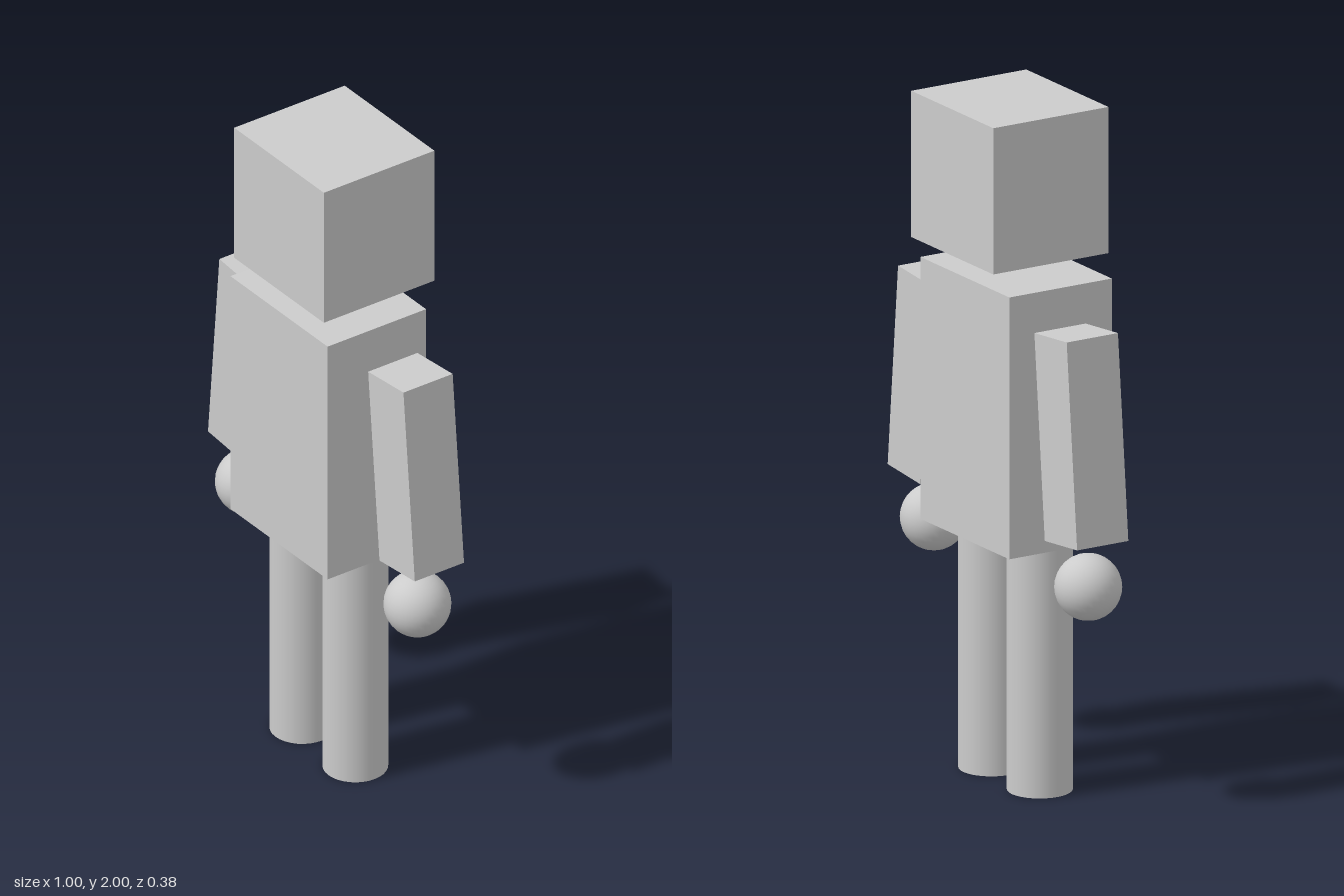
import * as THREE from 'three';

export function createModel() {
  const group = new THREE.Group();
  const material = new THREE.MeshStandardMaterial({ color: 0xcccccc });

  const add = (name, geometry, x, y, z) => {
    const mesh = new THREE.Mesh(geometry, material);
    mesh.name = name;
    mesh.position.set(x, y, z);
    group.add(mesh);
    return mesh;
  };

  // Floating head above the torso
  add('head', new THREE.BoxGeometry(0.43, 0.43, 0.384), 0, 1.785, -0.002);
  add('torso', new THREE.BoxGeometry(0.466, 0.77, 0.342), 0, 1.115, 0.019);

  // Paired limbs: the model's left is +x
  const armGeometry = new THREE.BoxGeometry(0.17, 0.6, 0.171);
  const handGeometry = new THREE.SphereGeometry(0.096, 32, 16);
  const legGeometry = new THREE.CylinderGeometry(0.093, 0.093, 0.735, 32);
  for (const [side, s] of [['left', 1], ['right', -1]]) {
    // Arms splay slightly outward towards the hands
    const arm = add(side + 'Arm', armGeometry, s * 0.384, 1.105, -0.008);
    arm.rotation.z = s * THREE.MathUtils.degToRad(5.2);
    add(side + 'Hand', handGeometry, s * 0.404, 0.668, 0.002);
    add(side + 'Leg', legGeometry, s * 0.127, 0.3675, 0.017);
  }

  return group;
}
